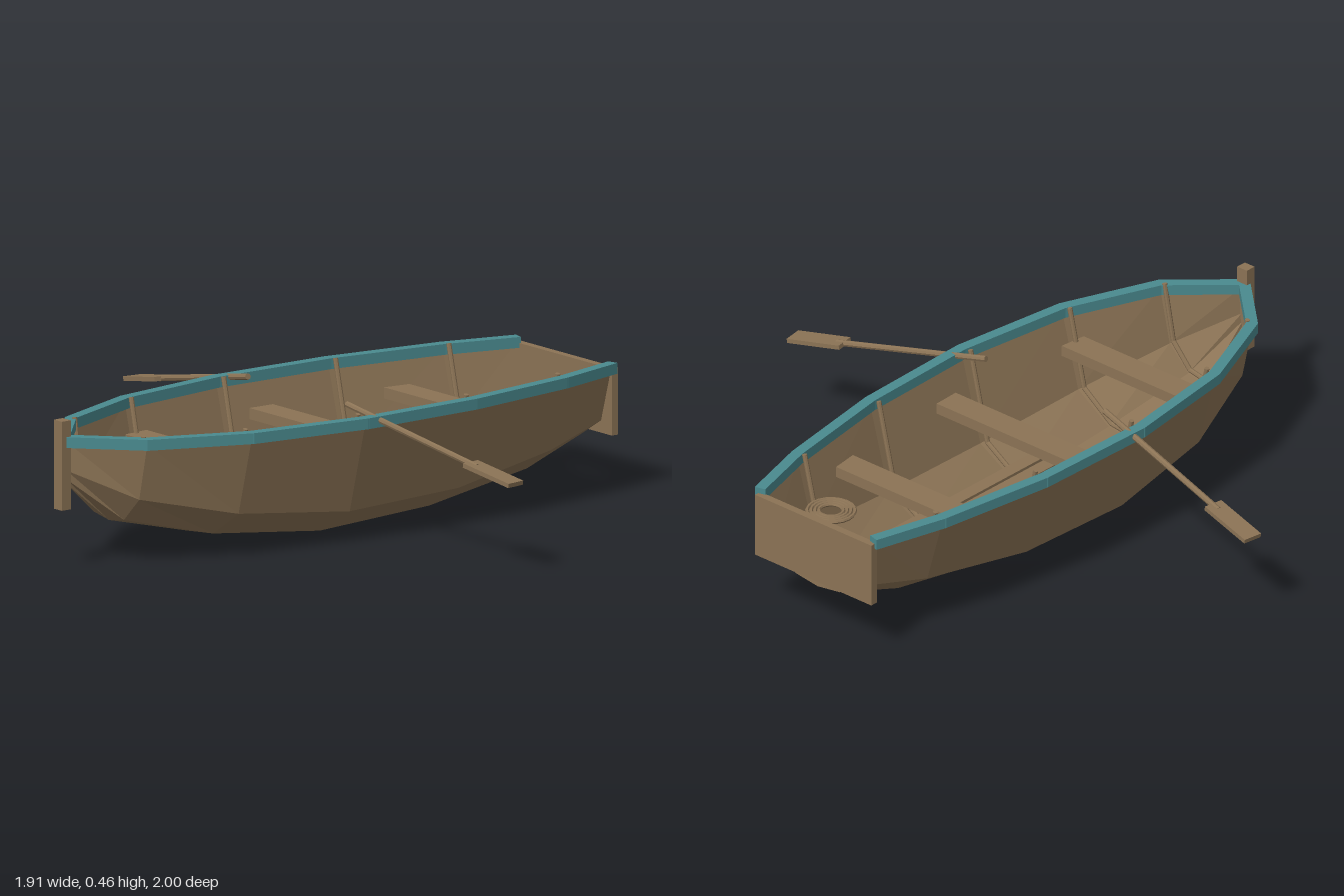
import * as THREE from 'three';

const wood = new THREE.MeshStandardMaterial({ color: 0x8b7355, flatShading: true });
const hullWood = new THREE.MeshStandardMaterial({ color: 0x8b7355, flatShading: true, side: THREE.DoubleSide });
const teal = new THREE.MeshStandardMaterial({ color: 0x4a8a8f, flatShading: true });

// Hull stations: z, half width at the rim, bilge height, chine height, keel height
const stations = [
  { z: -0.98, w: 0.235, chine: 0.22, keel: 0.15 },
  { z: -0.74, w: 0.3, chine: 0.167, keel: 0.075 },
  { z: -0.34, w: 0.36, chine: 0.112, keel: 0.018 },
  { z: 0.09, w: 0.37, chine: 0.1, keel: 0 },
  { z: 0.49, w: 0.315, chine: 0.14, keel: 0.043 },
  { z: 0.8, w: 0.19, chine: 0.21, keel: 0.12 },
  { z: 0.97, w: 0.006, chine: 0.3, keel: 0.26 },
];
const RIM = 0.39;

// Cross-section from the left rim, under the keel, to the right rim
function section({ z, w, chine, keel }) {
  const half = [[w, RIM], [w * 0.79, chine], [w * 0.39, keel + 0.013]];
  const right = half.map(([x, y]) => [-x, y]).reverse();
  return [...half, [0, keel], ...right].map(([x, y]) => new THREE.Vector3(x, y, z));
}

function add(parent, name, geometry, material, x = 0, y = 0, z = 0) {
  const mesh = new THREE.Mesh(geometry, material);
  mesh.name = name;
  mesh.position.set(x, y, z);
  parent.add(mesh);
  return mesh;
}

// Rectangular bar from a to b
function beam(parent, name, a, b, width, height, material, extra = 0) {
  const mid = a.clone().lerp(b, 0.5);
  const geometry = new THREE.BoxGeometry(width, height, a.distanceTo(b) + extra);
  add(parent, name, geometry, material, mid.x, mid.y, mid.z).lookAt(b);
}

// Round bar from a to b
function rod(parent, name, a, b, radius) {
  const mid = a.clone().lerp(b, 0.5);
  const geometry = new THREE.CylinderGeometry(radius, radius, a.distanceTo(b), 8);
  geometry.rotateX(Math.PI / 2);
  add(parent, name, geometry, wood, mid.x, mid.y, mid.z).lookAt(b);
}

function hullGeometry() {
  const rows = stations.map(section);
  const n = rows[0].length;
  const index = [];
  for (let i = 0; i < rows.length - 1; i++) {
    for (let j = 0; j < n - 1; j++) {
      const a = i * n + j, b = a + 1, d = a + n, c = d + 1;
      index.push(a, d, b, d, c, b);
    }
  }
  const geometry = new THREE.BufferGeometry().setFromPoints(rows.flat());
  geometry.setIndex(index);
  geometry.computeVertexNormals();
  return geometry;
}

// Flat seat board, with ends following the hull's plan
function thwart(parent, name, z, back, front) {
  const shape = new THREE.Shape([
    new THREE.Vector2(-back, 0.045), new THREE.Vector2(-front, -0.045),
    new THREE.Vector2(front, -0.045), new THREE.Vector2(back, 0.045),
  ]);
  const geometry = new THREE.ExtrudeGeometry(shape, { depth: 0.035, bevelEnabled: false });
  geometry.rotateX(-Math.PI / 2);
  add(parent, name, geometry, wood, 0, 0.27, z);
}

export function createModel() {
  const boat = new THREE.Group();
  boat.name = 'rowingBoat';

  add(boat, 'hull', hullGeometry(), hullWood);
  add(boat, 'transom', new THREE.BoxGeometry(0.48, 0.21, 0.025), wood, 0, 0.285, -0.9875);
  add(boat, 'stemPost', new THREE.BoxGeometry(0.04, 0.28, 0.035), wood, 0, 0.32, 0.9825);

  // Painted rim, one straight length between each pair of stations
  const gunwale = new THREE.Group();
  gunwale.name = 'gunwale';
  boat.add(gunwale);
  for (const side of [1, -1]) {
    for (let i = 0; i < stations.length - 1; i++) {
      const [a, b] = [stations[i], stations[i + 1]].map(
        (s) => new THREE.Vector3(side * s.w, 0.392, s.z));
      beam(gunwale, 'gunwaleLength', a, b, 0.036, 0.034, teal, 0.008);
    }
  }

  // Ribs inside the hull at the middle stations
  const ribs = new THREE.Group();
  ribs.name = 'ribs';
  boat.add(ribs);
  for (const station of stations.slice(1, -1)) {
    const points = section(station).map((p) => {
      const top = p.y === RIM;
      return new THREE.Vector3(p.x * 0.9, top ? 0.413 : p.y + 0.015, p.z);
    });
    for (let j = 0; j < points.length - 1; j++) rod(ribs, 'rib', points[j], points[j + 1], 0.008);
  }

  // Seats
  thwart(boat, 'rearSeat', -0.545, 0.275, 0.287);
  thwart(boat, 'middleSeat', -0.042, 0.313, 0.316);
  thwart(boat, 'frontSeat', 0.485, 0.272, 0.262);

  // Floor slats
  for (let i = -2; i <= 2; i++) {
    add(boat, 'floorSlat', new THREE.BoxGeometry(0.046, 0.016, 0.77), wood, i * 0.057, 0.09, -0.115);
  }

  // Coiled rope
  const coil = new THREE.Group();
  coil.name = 'ropeCoil';
  coil.position.set(0.12, 0.29, -0.785);
  boat.add(coil);
  for (let i = 0; i < 4; i++) {
    const ring = new THREE.TorusGeometry(0.038 + i * 0.012, 0.006, 6, 20);
    add(coil, 'ropeRing', ring.rotateX(Math.PI / 2), wood);
  }

  // Oars resting on the rim
  for (const side of [1, -1]) {
    const oar = new THREE.Group();
    oar.name = side > 0 ? 'leftOar' : 'rightOar';
    boat.add(oar);
    const handle = new THREE.Vector3(side * 0.245, 0.425, 0.064);
    const neck = new THREE.Vector3(side * 0.76, 0.318, -0.012);
    const tip = new THREE.Vector3(side * 0.95, 0.283, -0.04);
    rod(oar, 'oarShaft', handle, neck.clone().lerp(tip, 0.15), 0.01);
    beam(oar, 'oarBlade', neck, tip, 0.065, 0.014, wood);
  }
  return boat;
}
